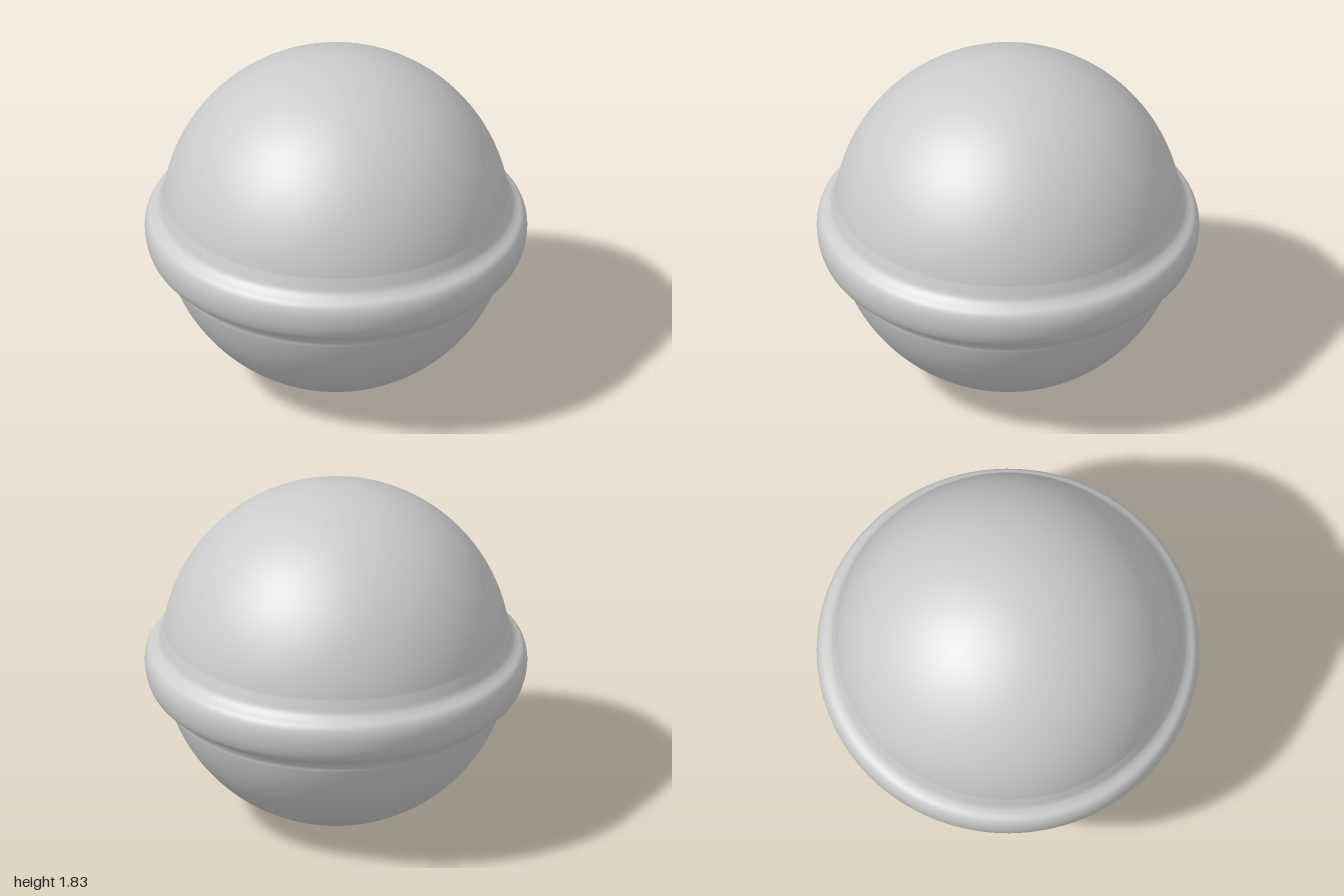
import * as THREE from 'three';

const R = 0.915; // ball radius, also the height of its centre
const SEGMENTS = 128;
const BOTTOM_ANGLE = -0.305; // latitudes where the band flows into the ball
const TOP_ANGLE = 0.17;

const onBall = (a) => new THREE.Vector2(R * Math.cos(a), R + R * Math.sin(a));

export function createModel() {
  const group = new THREE.Group();
  const material = new THREE.MeshStandardMaterial({ color: 0xcccccc });

  const add = (name, geometry, y = 0) => {
    const mesh = new THREE.Mesh(geometry, material);
    mesh.name = name;
    mesh.position.y = y;
    group.add(mesh);
  };

  // Part of the ball between two latitudes
  const shell = (name, low, high) =>
    add(name, new THREE.SphereGeometry(R, SEGMENTS, 48, 0, Math.PI * 2, Math.PI / 2 - high, high - low), R);

  shell('upperDome', TOP_ANGLE, Math.PI / 2);
  shell('lowerBowl', -Math.PI / 2, BOTTOM_ANGLE);

  // Rounded band around the middle, with soft fillets into the ball
  const profile = new THREE.SplineCurve([
    onBall(BOTTOM_ANGLE),
    onBall(BOTTOM_ANGLE + 0.03),
    new THREE.Vector2(0.908, 0.706),
    new THREE.Vector2(0.940, 0.722),
    new THREE.Vector2(0.970, 0.750),
    new THREE.Vector2(0.991, 0.800),
    new THREE.Vector2(1.000, 0.860),
    new THREE.Vector2(0.996, 0.908),
    new THREE.Vector2(0.980, 0.945),
    new THREE.Vector2(0.947, 0.972),
    new THREE.Vector2(0.925, 0.998),
    new THREE.Vector2(0.911, 1.040),
    onBall(TOP_ANGLE),
  ]);
  add('middleBand', new THREE.LatheGeometry(profile.getPoints(72), SEGMENTS));

  return group;
}
